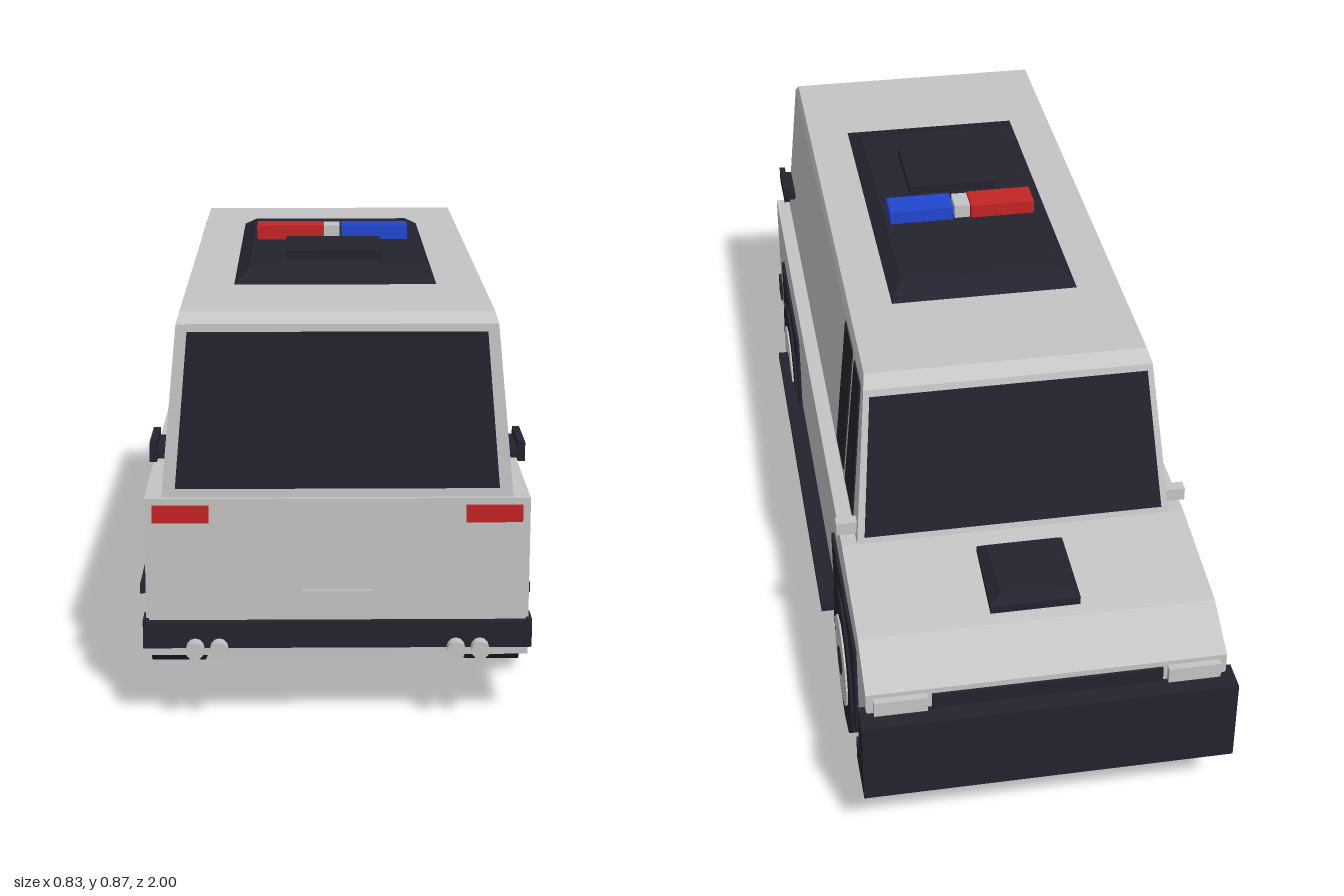
import * as THREE from 'three';
import { ConvexGeometry } from 'three/addons/geometries/ConvexGeometry.js';

const material = (name, color) => {
  const m = new THREE.MeshStandardMaterial({ color });
  m.name = name;
  return m;
};

export function createModel() {
  const root = new THREE.Group();
  root.name = 'armouredVan';
  const paint = material('lightGrey', 0xc4c4c4);
  const dark = material('darkNavy', 0x23232f);
  const red = material('signalRed', 0xc42424);
  const blue = material('signalBlue', 0x2146d0);

  const add = (name, geometry, mat) => {
    const mesh = new THREE.Mesh(geometry, mat);
    mesh.name = name;
    root.add(mesh);
    return mesh;
  };
  // box given by its limits
  const box = (name, mat, x0, x1, y0, y1, z0, z1) => {
    const mesh = add(name, new THREE.BoxGeometry(Math.abs(x1 - x0), y1 - y0, z1 - z0), mat);
    mesh.position.set((x0 + x1) / 2, (y0 + y1) / 2, (z0 + z1) / 2);
    return mesh;
  };
  // flat-faced solid wrapped around a few points
  const solid = (name, mat, points) =>
    add(name, new ConvexGeometry(points.map((p) => new THREE.Vector3(...p))), mat);
  // rings of [y, halfWidth, zFront, zRear] stacked upwards
  const stack = (name, mat, rings) => solid(name, mat, rings.flatMap(([y, w, z0, z1]) =>
    [[-w, y, z0], [w, y, z0], [w, y, z1], [-w, y, z1]]));
  // thin plate: corners pushed out and in by half the offset
  const plate = (name, mat, corners, [dx, dy, dz]) => solid(name, mat, corners.flatMap(([x, y, z]) =>
    [[x + dx, y + dy, z + dz], [x - dx, y - dy, z - dz]]));

  // Lower body with sloping bonnet
  const profile = [[0.14, 0.96], [0.46, 0.96], [0.46, -0.57], [0.43, -0.84], [0.375, -0.95], [0.14, -0.95]];
  solid('lowerBody', paint, profile.flatMap(([y, z]) => [[-0.375, y, z], [0.375, y, z]]));

  // Tapered cabin with bevelled roof edge
  stack('cabin', paint, [
    [0.46, 0.342, -0.57, 0.95],
    [0.8, 0.309, -0.49, 0.937],
    [0.82, 0.303, -0.457, 0.915],
  ]);
  const sideX = (y) => 0.342 - (y - 0.46) * 0.097;
  const frontZ = (y) => -0.57 + (y - 0.46) * 0.235;
  const rearZ = (y) => 0.95 - (y - 0.46) * 0.038;
  plate('windscreen', dark, [
    [-0.325, 0.475, frontZ(0.475)], [0.325, 0.475, frontZ(0.475)],
    [0.297, 0.785, frontZ(0.785)], [-0.297, 0.785, frontZ(0.785)],
  ], [0, 0.001, -0.004]);
  plate('rearWindow', dark, [
    [-0.315, 0.478, rearZ(0.478)], [0.315, 0.478, rearZ(0.478)],
    [0.288, 0.785, rearZ(0.785)], [-0.288, 0.785, rearZ(0.785)],
  ], [0, 0, 0.004]);

  // Roof pad, hatch and light bar
  stack('roofPad', dark, [[0.818, 0.21, -0.2, 0.635], [0.842, 0.178, -0.13, 0.56]]);
  box('roofHatch', dark, -0.103, 0.103, 0.84, 0.86, 0.25, 0.45);
  box('redBeacon', red, -0.17, -0.022, 0.842, 0.873, 0.115, 0.185);
  box('beaconCentre', paint, -0.02, 0.016, 0.842, 0.873, 0.12, 0.18);
  box('blueBeacon', blue, 0.02, 0.168, 0.842, 0.873, 0.115, 0.185);

  // Bonnet scoop
  solid('bonnetScoop', dark, [-1, 1].flatMap((s) => [
    [s * 0.093, 0.45, -0.625], [s * 0.095, 0.43, -0.81],
    [s * 0.093, 0.465, -0.625], [s * 0.095, 0.452, -0.81],
    [s * 0.075, 0.478, -0.64], [s * 0.07, 0.472, -0.79],
  ]));

  // Front bumper and grille
  box('frontBumper', dark, -0.39, 0.39, 0.14, 0.33, -1, -0.953);
  box('grille', dark, -0.24, 0.24, 0.3, 0.362, -0.957, -0.949);

  // Rear bumper and number plate blank
  box('rearBumper', dark, -0.378, 0.378, 0.16, 0.213, 0.95, 0.975);
  box('rearPlate', paint, -0.07, 0.07, 0.232, 0.275, 0.958, 0.967);

  // Wheel: tyre, rims on both faces and a centre cap
  const disc = (name, mat, r, width, x, y, z, sides) => {
    const g = new THREE.CylinderGeometry(r, r, width, sides).toNonIndexed();
    g.rotateZ(Math.PI / 2);
    g.computeVertexNormals();
    add(name, g, mat).position.set(x, y, z);
  };

  for (const s of [-1, 1]) {
    // Side windows
    const pane = (name, corners) =>
      plate(name, dark, corners.map(([y, z]) => [s * sideX(y), y, z]), [s * 0.003, 0, 0]);
    pane('rearSideWindow', [[0.48, -0.2], [0.79, -0.2], [0.79, -0.325], [0.48, -0.325]]);
    pane('frontSideWindow', [[0.48, -0.358], [0.79, -0.358], [0.79, -0.455], [0.48, -0.495]]);

    // Mirror and rear grab handle
    box('mirror', paint, s * 0.33, s * 0.383, 0.47, 0.5, -0.545, -0.52);
    box('handleStalk', dark, s * 0.325, s * 0.352, 0.537, 0.553, 0.82, 0.945);
    box('handleBar', dark, s * 0.349, s * 0.363, 0.53, 0.568, 0.82, 0.945);

    // Wheel arch panels and wheels
    for (const z of [0.59, -0.6]) {
      box('wheelArch', dark, s * 0.373, s * 0.382, 0.138, 0.365, z - 0.2, z + 0.2);
      disc('tyre', dark, 0.165, 0.113, s * 0.331, 0.165, z, 12);
      disc('rim', paint, 0.103, 0.121, s * 0.331, 0.165, z, 12);
      disc('wheelCap', dark, 0.032, 0.127, s * 0.331, 0.165, z, 8);
    }

    // Sill and side bar
    box('sill', dark, s * 0.36, s * 0.385, 0.138, 0.175, -0.4, 0.39);
    box('sideBar', dark, s * 0.385, s * 0.414, 0.157, 0.176, -0.42, 0.635);

    // Bumper ends
    box('frontBumperEnd', dark, s * 0.373, s * 0.39, 0.14, 0.33, -0.955, -0.932);
    box('frontBumperCorner', dark, s * 0.373, s * 0.39, 0.14, 0.2, -0.933, -0.88);
    box('rearBumperEnd', dark, s * 0.37, s * 0.381, 0.16, 0.217, 0.925, 0.975);

    // Lamps and twin exhausts
    box('headlamp', paint, s * 0.25, s * 0.36, 0.315, 0.365, -0.965, -0.948);
    box('tailLamp', red, s * 0.25, s * 0.36, 0.413, 0.447, 0.958, 0.967);
    for (const x of [0.232, 0.279]) {
      const g = new THREE.CylinderGeometry(0.018, 0.018, 0.06, 12);
      g.rotateX(Math.PI / 2);
      add('exhaust', g, paint).position.set(s * x, 0.162, 0.97);
    }
  }
  return root;
}
